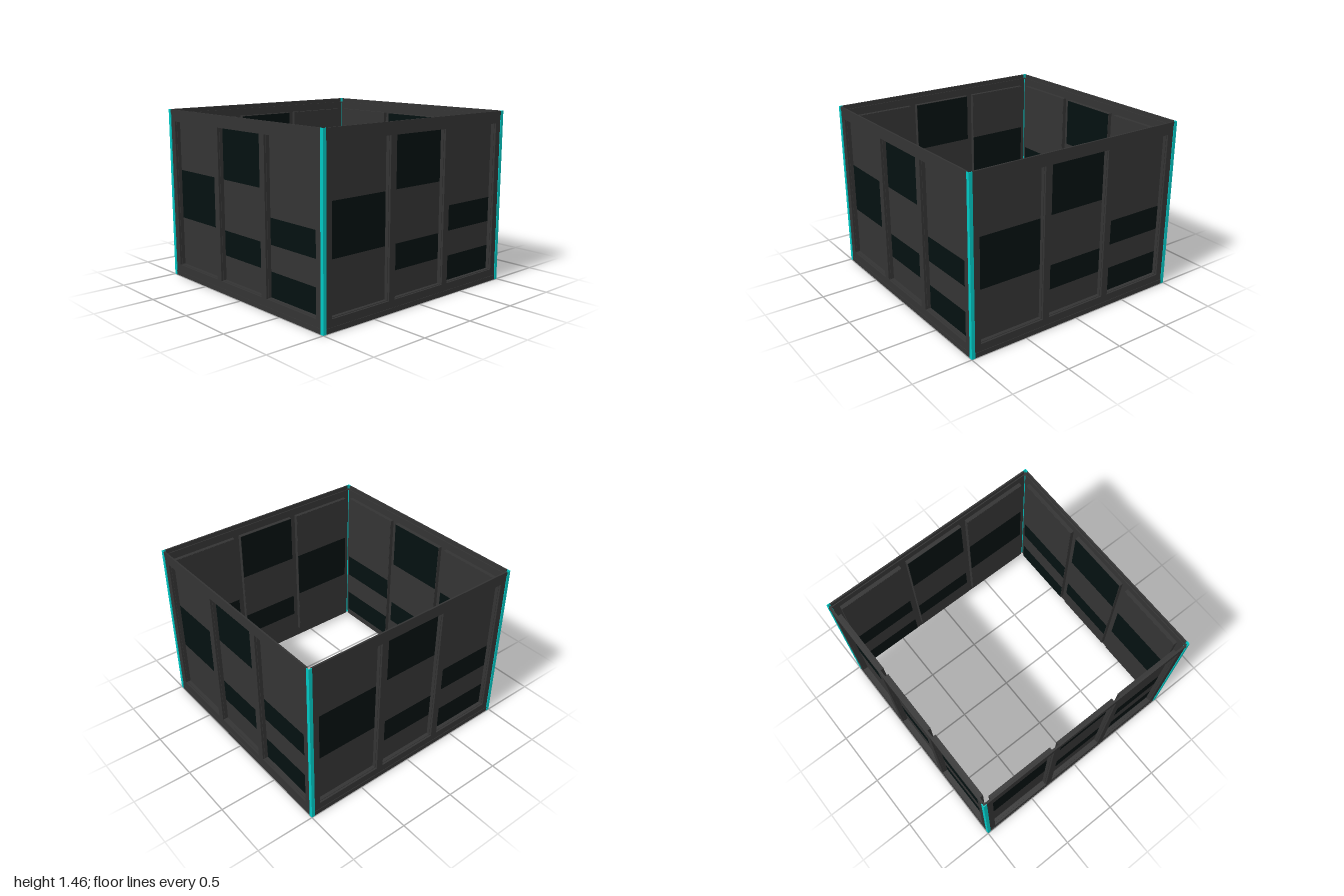
import * as THREE from 'three';

const H = 1.46;
const PLATE_BOTTOM = 0.04, PLATE_TOP = 1.425;
const dark = new THREE.MeshStandardMaterial({ color: 0x333333 });
const glass = new THREE.MeshStandardMaterial({ color: 0x031010 });
const teal = new THREE.MeshStandardMaterial({ color: 0x00c8c4 });

// Panel columns: x range, then bands from bottom to top as [units high, is glass]
const BOTTOM = 0.1, UNIT = 0.21, TOP = BOTTOM + 6 * UNIT;
const COLUMNS = [
  { x0: -0.915, x1: -0.335, bands: [[2, false], [2, true], [2, false]] },
  { x0: -0.274, x1: 0.274, bands: [[1, false], [1, true], [2, false], [2, true]] },
  { x0: 0.335, x1: 0.915, bands: [[1, true], [1, false], [1, true], [3, false]] },
];

function box(parent, name, material, x0, x1, y0, y1, z0, z1) {
  const mesh = new THREE.Mesh(new THREE.BoxGeometry(x1 - x0, y1 - y0, z1 - z0), material);
  mesh.position.set((x0 + x1) / 2, (y0 + y1) / 2, (z0 + z1) / 2);
  mesh.name = name;
  parent.add(mesh);
}

function rectangle(target, x0, x1, y0, y1) {
  target.moveTo(x0, y0);
  target.lineTo(x1, y0);
  target.lineTo(x1, y1);
  target.lineTo(x0, y1);
  target.closePath();
  return target;
}

function extrude(parent, name, shape, z0, z1) {
  const mesh = new THREE.Mesh(
    new THREE.ExtrudeGeometry(shape, { depth: z1 - z0, bevelEnabled: false }), dark);
  mesh.position.z = z0;
  mesh.name = name;
  parent.add(mesh);
}

function createWall() {
  const wall = new THREE.Group();
  wall.name = 'wall';

  // Thin beams along the top and bottom edges
  box(wall, 'bottomBeam', dark, -0.97, 0.97, 0, PLATE_BOTTOM, 0.984, 0.998);
  box(wall, 'topBeam', dark, -0.97, 0.97, PLATE_TOP, H, 0.984, 0.998);

  // Plate with three openings
  const outline = rectangle(new THREE.Shape(), -0.972, 0.972, PLATE_BOTTOM, PLATE_TOP);
  for (const c of COLUMNS) {
    outline.holes.push(rectangle(new THREE.Path(), c.x0, c.x1, BOTTOM, TOP));
  }
  extrude(wall, 'wallFrame', outline, 0.976, 0.994);

  for (const c of COLUMNS) {
    // Lining that carries the panels inward from the plate
    const rim = 0.004;
    const lining = rectangle(new THREE.Shape(), c.x0, c.x1, BOTTOM, TOP);
    lining.holes.push(
      rectangle(new THREE.Path(), c.x0 + rim, c.x1 - rim, BOTTOM + rim, TOP - rim));
    extrude(wall, 'openingLining', lining, 0.943, 0.977);

    // Solid and glazed bands at the back of the opening
    let y = BOTTOM + rim;
    c.bands.forEach(([units, glazed], i) => {
      const top = i === c.bands.length - 1 ? TOP - rim : y + units * UNIT - (i ? 0 : rim);
      box(wall, glazed ? 'glassPanel' : 'solidPanel', glazed ? glass : dark,
        c.x0 + rim, c.x1 - rim, y, top, 0.942, 0.947);
      y = top;
    });
  }
  return wall;
}

// Coloured angle trim around a dark-capped core
function createCornerPost() {
  const post = new THREE.Group();
  post.name = 'cornerPost';
  box(post, 'frontTrim', teal, 0.97, 1, 0, H, 0.994, 1);
  box(post, 'sideTrim', teal, 0.994, 1, 0, H, 0.97, 0.994);
  box(post, 'postCore', teal, 0.971, 0.994, PLATE_BOTTOM, PLATE_TOP - 0.005, 0.971, 0.994);
  box(post, 'postCap', dark, 0.971, 0.994, PLATE_TOP - 0.005, PLATE_TOP, 0.971, 0.994);
  return post;
}

export function createModel() {
  const model = new THREE.Group();
  model.name = 'panelledEnclosure';

  // Four equal sides, each with a post at its right-hand corner
  for (let i = 0; i < 4; i++) {
    const side = new THREE.Group();
    side.name = 'side';
    side.add(createWall(), createCornerPost());
    side.rotation.y = (i * Math.PI) / 2;
    model.add(side);
  }
  return model;
}
